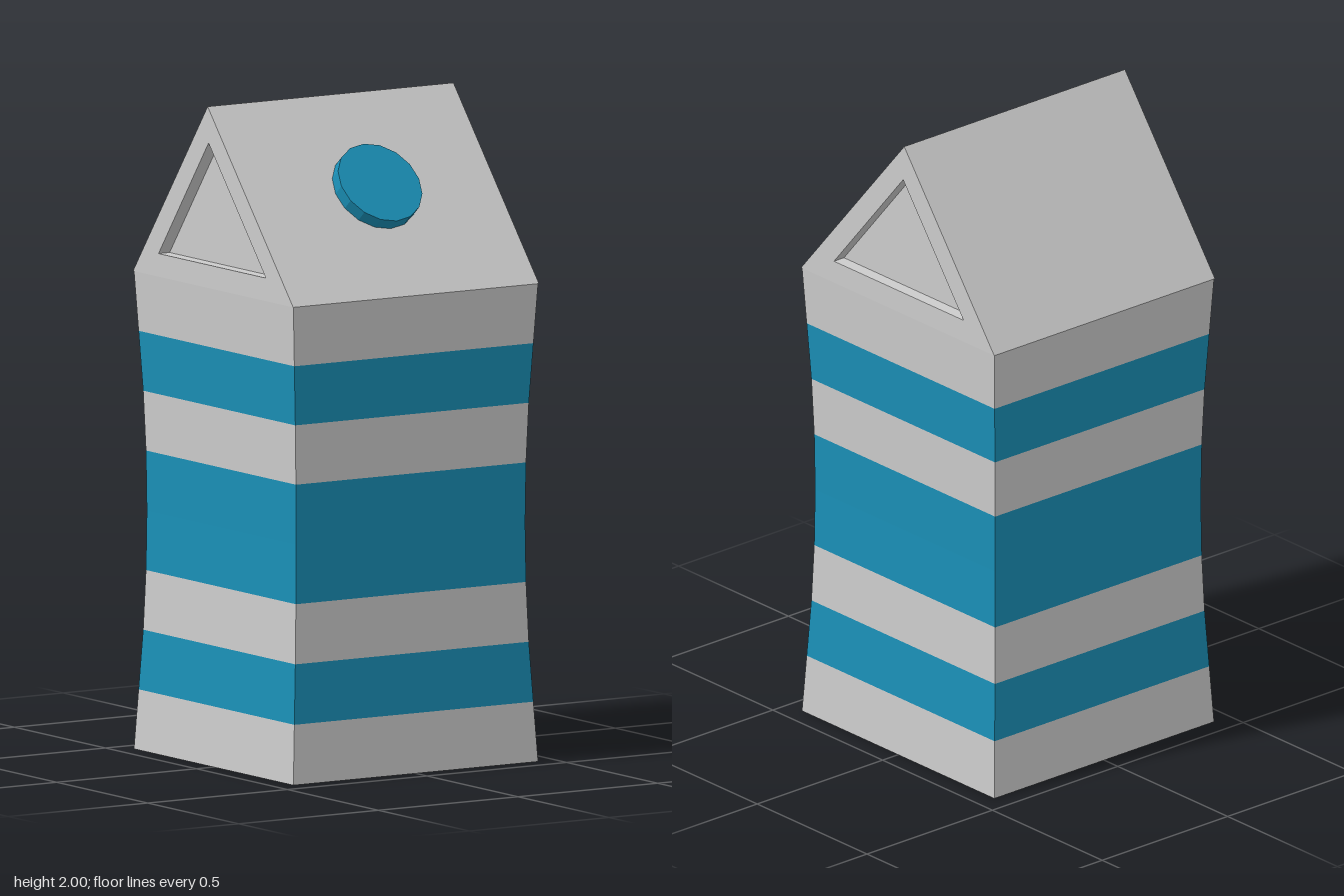
import * as THREE from 'three';

const GREY = 0xcccccc, BLUE = 0x1a8fb6;
const HALF = 0.44, EAVES = 1.45, RIDGE_Z = -0.03;

const grey = new THREE.MeshStandardMaterial({ color: GREY, flatShading: true });
const blue = new THREE.MeshStandardMaterial({ color: BLUE, flatShading: true });

function part(name, geometry, material) {
  const mesh = new THREE.Mesh(geometry, material);
  mesh.name = name;
  return mesh;
}

// Extrudes a (z, y) outline along x, centred on x = 0
function prism(shape, length) {
  return new THREE.ExtrudeGeometry(shape, { depth: length, bevelEnabled: false })
    .translate(0, 0, -length / 2)
    .rotateY(-Math.PI / 2);
}

const outline = (pts) => pts.map(([z, y]) => new THREE.Vector2(z, y));

export function createModel() {
  const group = new THREE.Group();

  // Square carton body, pinched at the middle, in stacked coloured bands
  const body = new THREE.Group();
  body.name = 'body';
  const halfWidths = [0.438, 0.428, 0.418, 0.412, 0.41, 0.412, 0.418, 0.428, 0.438];
  const stripes = [grey, blue, grey, blue, blue, grey, blue, grey];
  const h = EAVES / stripes.length;
  stripes.forEach((material, i) => {
    const band = new THREE.CylinderGeometry(
      halfWidths[i + 1] * Math.SQRT2, halfWidths[i] * Math.SQRT2, h, 4, 1, true);
    band.rotateY(Math.PI / 4).translate(0, (i + 0.5) * h, 0);
    body.add(part(material === blue ? 'stripe' : 'bodyBand', band, material));
  });
  const base = new THREE.PlaneGeometry(2 * halfWidths[0], 2 * halfWidths[0]).rotateX(Math.PI / 2);
  body.add(part('base', base, grey));
  group.add(body);

  // Gabled top with a triangular recess in each end
  const gable = new THREE.Shape(outline([[HALF, EAVES], [RIDGE_Z, 2], [-HALF, EAVES]]));
  const recess = outline([[0.29, 1.52], [-0.3, 1.52], [-0.025, 1.89]]);
  gable.holes.push(new THREE.Path(recess));
  group.add(part('gableTop', prism(gable, 2 * HALF), grey));
  group.add(part('recessPanel', prism(new THREE.Shape(recess), 2 * HALF - 0.08), grey));

  // Round screw cap on the front slope
  const cap = part('cap', new THREE.CylinderGeometry(0.139, 0.139, 0.05, 16), blue);
  cap.rotation.x = Math.atan2(2 - EAVES, HALF - RIDGE_Z);
  cap.position.set(0.011, 1.749, 0.207);
  group.add(cap);

  return group;
}
